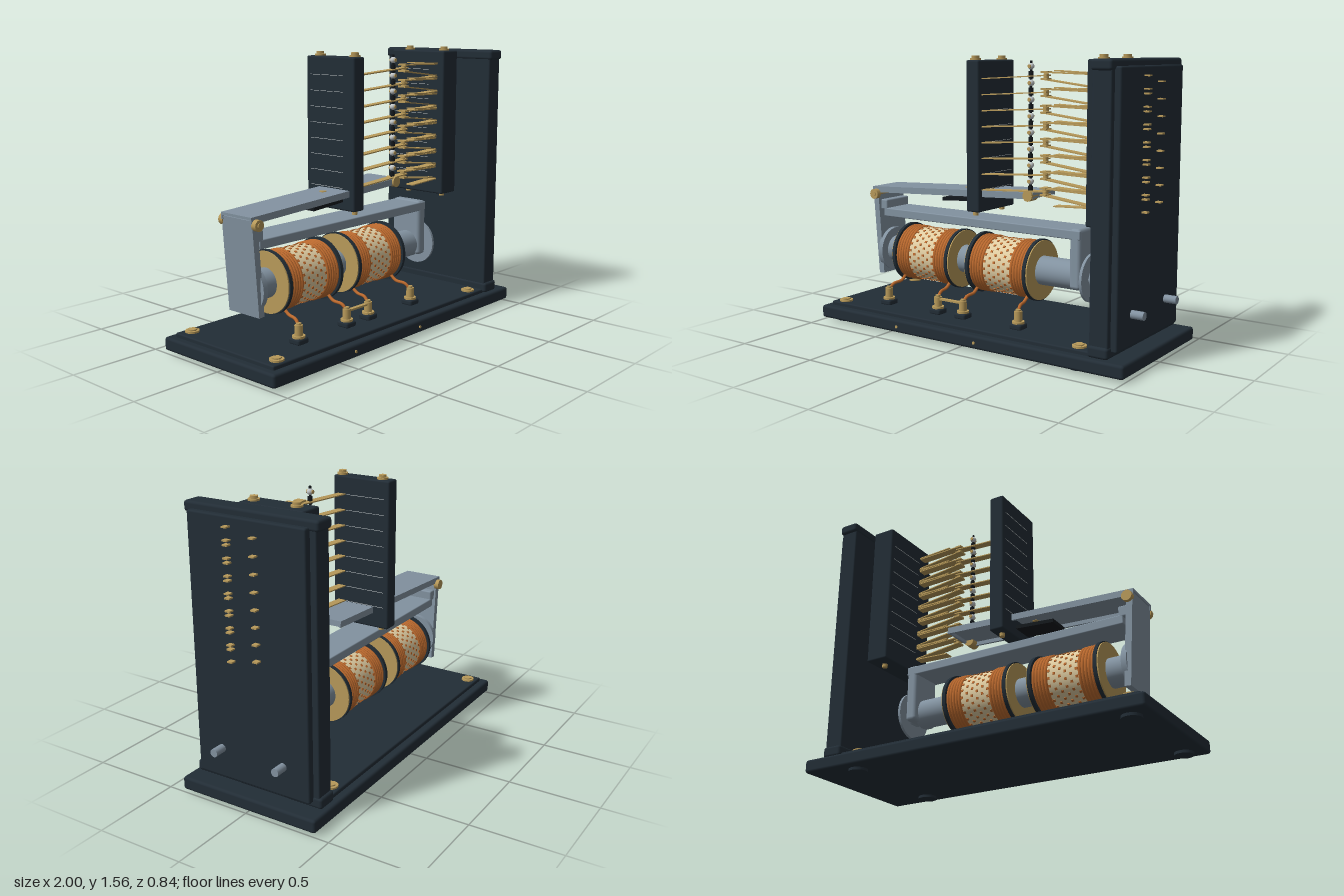
import * as THREE from 'three';
import { RoundedBoxGeometry } from 'three/addons/geometries/RoundedBoxGeometry.js';
import { mergeGeometries } from 'three/addons/utils/BufferGeometryUtils.js';

const mat = (name, color) => {
  const m = new THREE.MeshStandardMaterial({ color });
  m.name = name;
  return m;
};

export function createModel() {
  const root = new THREE.Group();
  root.name = 'relay';
  const dark = mat('dark enamel', 0x222d36);
  const black = mat('black', 0x14191d);
  const brass = mat('brass', 0xb89a5a);
  const steel = mat('steel', 0x8292a0);
  const copper = mat('copper', 0xbc6a2e);
  const cream = mat('cream paper', 0xe0cda2);
  const pale = mat('pale trim', 0xc4c9ca);

  const add = (name, geo, m, x = 0, y = 0, z = 0, parent = root) => {
    const mesh = new THREE.Mesh(geo, m);
    mesh.name = name;
    mesh.position.set(x, y, z);
    parent.add(mesh);
    return mesh;
  };
  // Box given by its limits, with optional rounded edges
  const box = (name, m, x0, x1, y0, y1, z0, z1, r = 0) => {
    const s = [x1 - x0, y1 - y0, z1 - z0];
    const g = r ? new RoundedBoxGeometry(...s, 2, r) : new THREE.BoxGeometry(...s);
    return add(name, g, m, (x0 + x1) / 2, (y0 + y1) / 2, (z0 + z1) / 2);
  };
  // Cylinders along each axis
  const cylY = (name, m, r, y0, y1, x, z, n = 24) =>
    add(name, new THREE.CylinderGeometry(r, r, y1 - y0, n), m, x, (y0 + y1) / 2, z);
  const cylX = (name, m, r, x0, x1, y, z, n = 32) =>
    add(name, new THREE.CylinderGeometry(r, r, x1 - x0, n).rotateZ(Math.PI / 2), m, (x0 + x1) / 2, y, z);
  const cylZ = (name, m, r, z0, z1, x, y, n = 20) =>
    add(name, new THREE.CylinderGeometry(r, r, z1 - z0, n).rotateX(Math.PI / 2), m, x, y, (z0 + z1) / 2);
  // Flat bar running between two points in the xy plane
  const bar = (name, m, a, b, thick, width, z) => {
    const dx = b[0] - a[0], dy = b[1] - a[1];
    const mesh = add(name, new THREE.BoxGeometry(Math.hypot(dx, dy), thick, width), m,
      (a[0] + b[0]) / 2, (a[1] + b[1]) / 2, z);
    mesh.rotation.z = Math.atan2(dy, dx);
    return mesh;
  };

  // Base with feet and corner bolts
  box('base', dark, -1, 1, 0.015, 0.088, -0.42, 0.41, 0.015);
  box('basePlate', dark, -0.96, 0.8, 0.08, 0.11, -0.375, 0.365, 0.008);
  for (const x of [-0.89, 0.705]) for (const z of [-0.322, 0.315]) {
    cylY('foot', dark, 0.052, 0, 0.02, x, z);
    cylY('baseBolt', brass, 0.038, 0.11, 0.12, x, z);
    cylY('baseBoltHead', brass, 0.026, 0.12, 0.127, x, z, 6);
  }
  for (const x of [-0.42, 0.115]) cylZ('basePin', brass, 0.008, 0.4, 0.416, x, 0.05, 10);

  // Upright back panel with caps, cover plate and posts
  box('panel', dark, 0.79, 0.895, 0.09, 1.54, -0.38, 0.375, 0.008);
  box('panelTopCap', dark, 0.785, 0.9, 1.49, 1.545, -0.395, 0.388, 0.015);
  box('panelBottomCap', dark, 0.785, 0.9, 0.09, 0.15, -0.395, 0.388, 0.015);
  box('panelCover', dark, 0.88, 0.93, 0.12, 1.51, -0.345, 0.345, 0.01);
  for (const z of [-0.19, 0.19]) cylX('panelPost', steel, 0.022, 0.92, 1, 0.285, z, 16);

  // Insulating blocks that hold the springs
  const blocks = [[-0.13, -0.045, 0.695, 1.53, -0.21, 0.14], [0.638, 0.774, 0.69, 1.54, -0.227, 0.158]];
  for (const [x0, x1, y0, y1, z0, z1] of blocks) {
    box('springBlock', dark, x0, x1, y0, y1, z0, z1, 0.01);
    for (const z of [-0.145, 0.108]) {
      cylY('clampBolt', brass, 0.016, y0 - 0.02, y1 + 0.01, (x0 + x1) / 2, z, 16);
      cylY('clampWasher', brass, 0.03, y1, y1 + 0.01, (x0 + x1) / 2, z);
      cylY('clampNut', brass, 0.022, y1 + 0.01, y1 + 0.024, (x0 + x1) / 2, z, 6);
    }
  }

  // Eight sets of contact springs with their tails behind the panel
  for (let i = 0; i < 8; i++) {
    const y = 1.43 - i * 0.0873, z = 0.087;
    bar('movingSpring', brass, [-0.05, y], [0.37, y + 0.024], 0.006, 0.048, z);
    cylY('movingContact', brass, 0.015, y + 0.01, y + 0.034, 0.355, z, 12);
    for (const s of [1, -1]) {
      const yf = y + s * 0.0325;
      bar('fixedSpring', brass, [0.64, yf], [0.34, y + 0.022 + s * 0.018], 0.006, 0.05, z);
      bar('springStiffener', brass, [0.64, yf + s * 0.006], [0.42, yf + s * 0.016], 0.006, 0.056, z);
      box('contactTip', brass, 0.335, 0.372, y + 0.017 + s * 0.018, y + 0.027 + s * 0.018, z - 0.026, z + 0.026);
      box('fixedTail', brass, 0.92, 0.96, yf - 0.004, yf + 0.004, 0.08, 0.11);
    }
    box('movingTail', brass, 0.92, 0.96, y - 0.004, y + 0.004, -0.075, -0.045);
    // Seams of the laminated blocks
    box('blockSeam', pale, -0.132, -0.043, y - 0.001, y + 0.001, -0.18, 0.06);
    box('blockSeam', pale, 0.636, 0.66, y - 0.001, y + 0.001, -0.2, 0.05);
    // Lifter spacers
    const yb = 1.5 - i * 0.0873;
    add('lifterBead', new THREE.SphereGeometry(0.018, 14, 10), pale, 0.26, yb, z);
    cylZ('lifterStud', brass, 0.01, z - 0.02, z + 0.02, 0.26, yb, 10);
    cylY('lifterCollar', black, 0.013, yb - 0.065, yb - 0.025, 0.26, z, 12);
  }
  cylY('lifterRod', black, 0.007, 0.82, 1.53, 0.26, 0.087, 10);
  cylZ('lifterPivot', brass, 0.03, 0.055, 0.12, 0.26, 0.812);

  // Lever: shallow channel rising to the lifter
  const lever = new THREE.Group();
  lever.name = 'lever';
  lever.position.set(-0.28, 0.787, -0.005);
  lever.rotation.z = 0.048;
  root.add(lever);
  add('leverTop', new THREE.BoxGeometry(1.14, 0.014, 0.225), steel, 0, 0.01, 0, lever);
  for (const s of [-1, 1])
    add('leverSide', new THREE.BoxGeometry(1.14, 0.036, 0.012), steel, 0, -0.001, s * 0.1065, lever);
  add('leverEnd', new THREE.BoxGeometry(0.012, 0.03, 0.225), steel, 0.564, 0, 0, lever);
  cylY('leverScrew', brass, 0.02, 0.79, 0.81, -0.22, -0.005, 16);
  bar('returnSpring', black, [-0.36, 0.737], [-0.11, 0.755], 0.02, 0.13, -0.005);

  // Armature, hinge pin and yoke
  bar('armature', steel, [-0.79, 0.255], [-0.828, 0.76], 0.036, 0.225, -0.005);
  cylZ('hingePin', brass, 0.014, -0.14, 0.14, -0.82, 0.735);
  for (const z of [-0.125, 0.12]) cylZ('hingeNut', brass, 0.03, z - 0.015, z + 0.015, -0.82, 0.735, 12);
  box('yokeBar', steel, -0.78, 0.57, 0.6, 0.65, -0.108, 0.092, 0.006);
  box('yokeStop', steel, -0.805, -0.755, 0.64, 0.7, -0.108, 0.092, 0.008);
  box('yokeLeg', steel, 0.505, 0.572, 0.33, 0.658, -0.108, 0.092, 0.02);

  // Core with end plates
  const cy = 0.39;
  cylX('core', steel, 0.08, -0.78, 0.53, cy, 0, 40);
  cylX('polePlate', steel, 0.13, -0.795, -0.765, cy, 0, 40);
  cylX('coreNut', steel, 0.06, 0.56, 0.62, cy, 0, 6);
  cylX('coreWasher', steel, 0.132, 0.59, 0.605, cy, 0, 40);

  // Two coils: flanges, paper sleeve, wire turns and dotted weave
  for (const xc of [-0.45, 0.08]) {
    cylX('paperSleeve', cream, 0.154, xc - 0.185, xc + 0.185, cy, 0, 48);
    for (const s of [-1, 1]) {
      const xf = xc + s * 0.19;
      cylX('coilFlange', dark, 0.172, xf - 0.01, xf + 0.01, cy, 0, 48);
      const xo = xc + s * 0.203;
      cylX('flangeFace', brass, 0.166, xo - 0.004, xo + 0.004, cy, 0, 48);
      const turns = [];
      for (let k = 0; k < 5; k++)
        turns.push(new THREE.TorusGeometry(0.153, 0.01, 8, 40).rotateY(Math.PI / 2)
          .translate(s * (0.17 - k * 0.018), 0, 0));
      add('wireTurns', mergeGeometries(turns), copper, xc, cy, 0);
    }
    const dots = [];
    for (let k = 0; k < 6; k++) for (let j = 0; j < 24; j++)
      dots.push(new THREE.BoxGeometry(0.013, 0.006, 0.013).translate((k - 2.5) * 0.032, 0.155, 0)
        .rotateX((j + k * 0.5) * Math.PI / 12));
    add('wireDots', mergeGeometries(dots), copper, xc, cy, 0);
  }

  // Terminals with leads up to the coils
  const tz = 0.217;
  for (const [x, dx] of [[-0.64, 0.02], [-0.275, -0.01], [-0.1, 0.01], [0.27, -0.02]]) {
    box('terminalBase', dark, x - 0.038, x + 0.038, 0.105, 0.14, tz - 0.038, tz + 0.038, 0.012);
    cylY('terminalWasher', brass, 0.034, 0.138, 0.15, x, tz);
    cylY('terminalPost', brass, 0.022, 0.15, 0.205, x, tz, 16);
    cylY('terminalCap', brass, 0.014, 0.205, 0.215, x, tz, 16);
    const path = new THREE.CatmullRomCurve3([
      new THREE.Vector3(x, 0.195, tz), new THREE.Vector3(x + dx * 0.5, 0.225, tz - 0.03),
      new THREE.Vector3(x + dx, 0.235, tz - 0.09), new THREE.Vector3(x + dx, 0.27, 0.08)]);
    add('coilLead', new THREE.TubeGeometry(path, 16, 0.009, 8), copper);
  }
  box('terminalLink', brass, -0.275, -0.1, 0.188, 0.198, tz - 0.012, tz + 0.012);

  return root;
}
